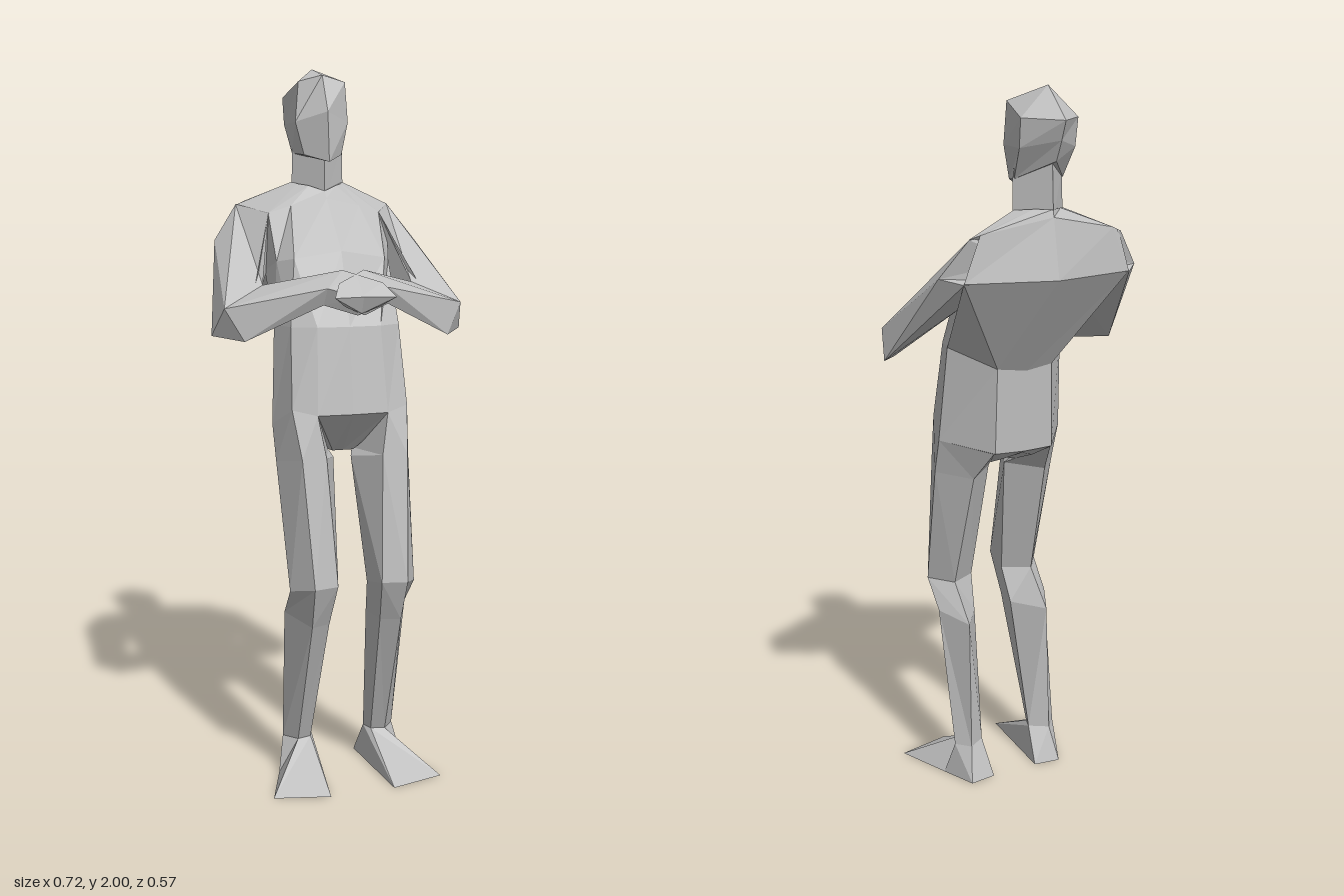
import * as THREE from 'three';

const grey = new THREE.MeshStandardMaterial({ color: 0xbfbfbf, flatShading: true });
grey.name = 'stone grey';

// Closed faceted skin through cross-sections; a one-point section makes a tip.
function loft(name, rings) {
  const n = Math.max(...rings.map(r => r.length));
  const at = (r, j) => r[(j % n) % r.length];
  const tris = [];
  const tri = (a, b, c) => { if (a !== b && b !== c && a !== c) tris.push([a, b, c]); };
  for (let i = 0; i + 1 < rings.length; i++) {
    for (let j = 0; j < n; j++) {
      const a = at(rings[i], j), b = at(rings[i], j + 1);
      const c = at(rings[i + 1], j + 1), d = at(rings[i + 1], j);
      tri(a, b, c);
      tri(a, c, d);
    }
  }
  const first = rings[0], last = rings[rings.length - 1];
  for (let j = 1; j + 1 < first.length; j++) tri(first[0], first[j + 1], first[j]);
  for (let j = 1; j + 1 < last.length; j++) tri(last[0], last[j], last[j + 1]);

  // Turn the skin outward if its enclosed volume is negative
  const v = p => new THREE.Vector3(...p);
  const volume = tris.reduce((s, [a, b, c]) => s + v(a).dot(v(b).cross(v(c))), 0);
  if (volume < 0) tris.forEach(t => t.reverse());

  const geometry = new THREE.BufferGeometry();
  geometry.setAttribute('position', new THREE.Float32BufferAttribute(tris.flat(2), 3));
  geometry.computeVertexNormals();
  const mesh = new THREE.Mesh(geometry, grey);
  mesh.name = name;
  return mesh;
}

const flip = ([x, y, z]) => [-x, y, z];
// The left leg stands slightly wider toward the foot
const splay = ([x, y, z]) => [x + 0.017 * Math.max(0, 1 - y), y, z];
// Full section from a half running front centre to back centre
const whole = half => [...half, ...half.slice(1, -1).reverse().map(flip)];

// Crotch, hips, waist, chest, shoulders, neck base
const torso = [
  [[0, .95, .09], [.03, .95, .09], [.035, .95, .07], [.04, .95, .04], [.05, .98, -.04], [0, 1, -.07]],
  [[0, 1.065, .185], [.1, 1.065, .18], [.165, 1.08, .155], [.195, 1.03, .06], [.09, 1.01, -.08], [0, 1.01, -.09]],
  [[0, 1.3, .15], [.09, 1.3, .145], [.155, 1.3, .11], [.18, 1.3, .03], [.085, 1.25, -.085], [0, 1.24, -.095]],
  [[0, 1.5, .075], [.13, 1.48, .06], [.163, 1.47, 0], [.175, 1.44, -.08], [.25, 1.512, -.212], [0, 1.51, -.265]],
  [[0, 1.64, -.06], [.1, 1.62, -.075], [.163, 1.6, -.085], [.226, 1.622, -.195], [.2, 1.632, -.207], [0, 1.67, -.235]],
  [[0, 1.66, -.08], [.04, 1.675, -.1], [.065, 1.68, -.13], [.075, 1.685, -.155], [.04, 1.69, -.2], [0, 1.69, -.23]],
];

// Four-sided neck with its corners to the front, back and sides
const neck = [
  [[0, 1.62, -.08], [.076, 1.66, -.15], [0, 1.67, -.232]],
  [[0, 1.78, -.08], [.074, 1.79, -.15], [0, 1.82, -.225]],
];

const head = [
  [[0, 1.74, -.033], [.055, 1.76, -.095], [.073, 1.765, -.155], [0, 1.812, -.245]],
  [[0, 1.877, -.047], [.077, 1.85, -.105], [.083, 1.845, -.2], [0, 1.865, -.27]],
  [[0, 1.978, -.1], [.068, 1.96, -.105], [.085, 1.92, -.21], [0, 1.915, -.29]],
];

// Limb sections for one side
const elbow = [[.338, 1.355, .112], [.215, 1.41, .045], [.29, 1.268, .138], [.36, 1.277, .05]];
const wrist = [[.085, 1.41, .22], [.03, 1.455, .175], [.07, 1.39, .15], [.09, 1.365, .2]];
const arm = {
  upperArm: [
    [[.1, 1.63, -.19], [.1, 1.58, -.1], [.1, 1.48, -.1], [.1, 1.51, -.21], [.1, 1.56, -.21]],
    [[.228, 1.622, -.2], [.163, 1.6, -.083], [.17, 1.44, -.08], [.25, 1.51, -.214], [.299, 1.523, -.165]],
    [...elbow, elbow[3]],
  ],
  forearm: [[elbow[0], elbow[1], elbow[3], elbow[2]], wrist],
  hand: [
    wrist,
    [[.01, 1.39, .265], [0, 1.445, .2], [0, 1.4, .17], [.01, 1.34, .245]],
    [[-.085, 1.39, .284], [-.06, 1.425, .24], [-.04, 1.4, .22], [-.05, 1.365, .26]],
  ],
};

const knee = [[.06, .6, .235], [.13, .6, .25], [.178, .58, .17], [.125, .58, .095], [.048, .58, .14]];
const ankle = [[.085, .1, .05], [.125, .1, .06], [.16, .1, .02], [.125, .1, -.02], [.073, .1, .015]];
const leg = {
  thigh: [
    [[.1, 1.065, .18], [.165, 1.08, .155], [.195, 1.03, .06], [.09, 1.01, -.075], [.035, .95, .06]],
    [[.08, .95, .195], [.15, .95, .2], [.193, .93, .09], [.115, .92, 0], [.025, .93, .08]],
    knee,
  ],
  shin: [
    knee,
    [[.07, .48, .185], [.125, .48, .205], [.175, .5, .1], [.125, .48, 0], [.057, .48, .1]],
    ankle,
  ],
  foot: [
    ankle,
    [[.085, 0, .25], [.24, 0, .212], [.18, 0, .05], [.14, 0, -.055], [.062, 0, -.045]],
  ],
};

export function createModel() {
  const figure = new THREE.Group();
  figure.name = 'standing figure';
  figure.add(
    loft('torso', torso.map(whole)),
    loft('neck', neck.map(whole)),
    loft('head', [...head.map(whole), [[0, 2, -.2]]]),
  );
  // Arms and legs on both sides
  const addPair = (limb, toLeft) => {
    for (const [part, rings] of Object.entries(limb)) {
      const name = part[0].toUpperCase() + part.slice(1);
      figure.add(loft('left' + name, rings.map(r => r.map(toLeft))));
      figure.add(loft('right' + name, rings.map(r => r.map(flip))));
    }
  };
  addPair(arm, p => p);
  addPair(leg, splay);
  return figure;
}
